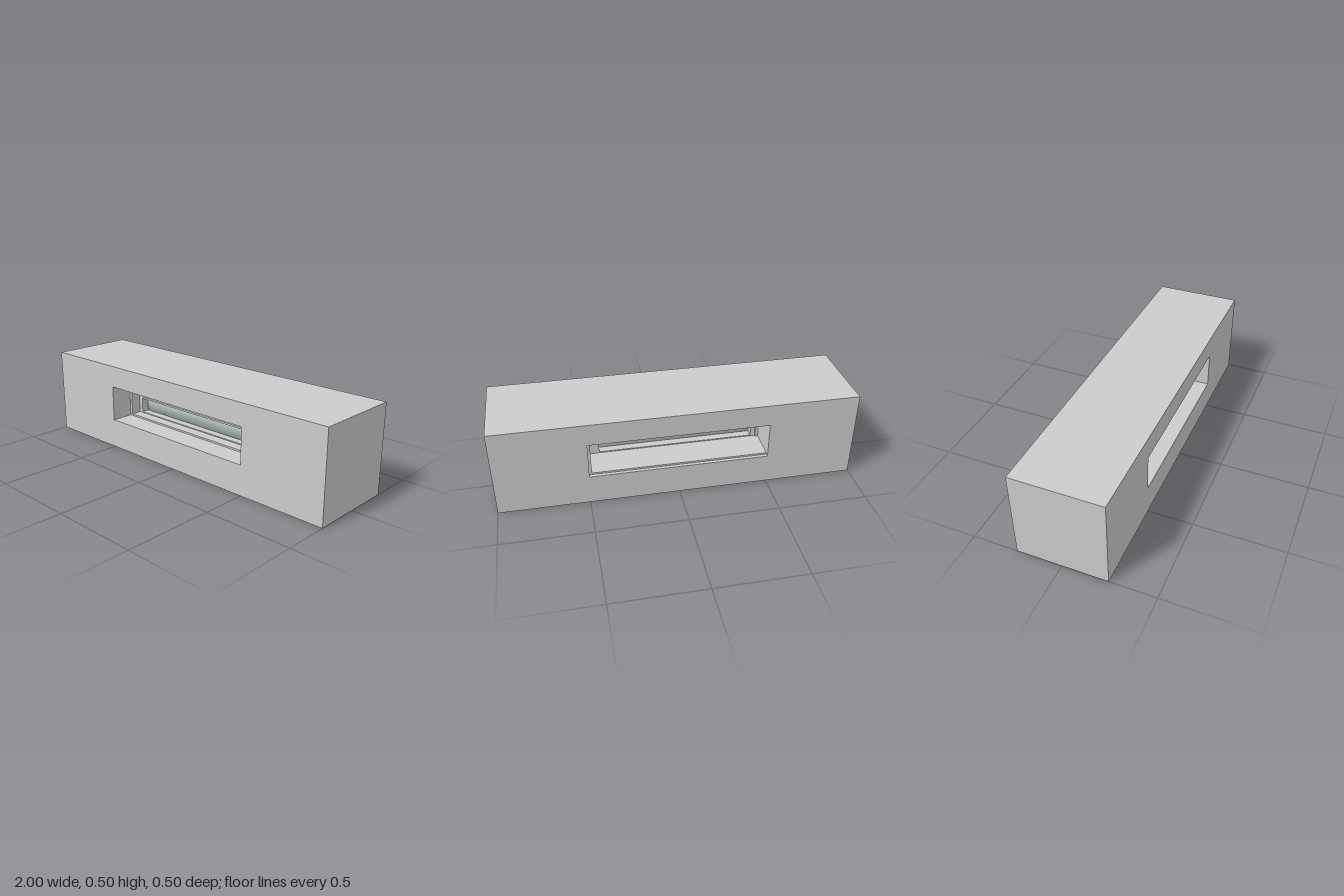
import * as THREE from 'three';

const grey = new THREE.MeshStandardMaterial({ color: 0xcccccc });
const glassMat = new THREE.MeshStandardMaterial({ color: 0xc4d2d2 });

// Rectangular ring, given as [x0, x1, y0, y1] outside and inside, from z0 to z1
function ring(name, o, i, z0, z1) {
  const rect = (P, [x0, x1, y0, y1]) => new P([
    new THREE.Vector2(x0, y0), new THREE.Vector2(x1, y0),
    new THREE.Vector2(x1, y1), new THREE.Vector2(x0, y1)]);
  const shape = rect(THREE.Shape, o);
  shape.holes.push(rect(THREE.Path, i));
  const geo = new THREE.ExtrudeGeometry(shape, { depth: z1 - z0, bevelEnabled: false });
  geo.translate(0, 0, z0);
  const mesh = new THREE.Mesh(geo, grey);
  mesh.name = name;
  return mesh;
}

function box(name, x0, x1, y0, y1, z0, z1, mat = grey) {
  const mesh = new THREE.Mesh(new THREE.BoxGeometry(x1 - x0, y1 - y0, z1 - z0), mat);
  mesh.position.set((x0 + x1) / 2, (y0 + y1) / 2, (z0 + z1) / 2);
  mesh.name = name;
  return mesh;
}

// Glass pane whose shading is softened across its corners
function pane(name, ...bounds) {
  const mesh = box(name, ...bounds, glassMat);
  const { position: p, normal: n } = mesh.geometry.attributes;
  const v = new THREE.Vector3();
  for (let i = 0; i < p.count; i++) {
    v.set(Math.sign(p.getX(i)), Math.sign(p.getY(i)), Math.sign(p.getZ(i))).normalize();
    n.setXYZ(i, v.x, v.y, v.z);
  }
  return mesh;
}

export function createModel() {
  const model = new THREE.Group();
  model.name = 'wallWithWindow';

  // Wall block with an opening right through it
  model.add(ring('wall', [-1, 1, 0, 0.5], [-0.5, 0.495, 0.17, 0.375], -0.25, 0.25));

  // Window set deep in the opening
  const win = new THREE.Group();
  win.name = 'window';
  win.add(ring('frame', [-0.5, 0.495, 0.17, 0.375], [-0.483, 0.48, 0.18, 0.366], -0.06, 0.12));
  win.add(ring('sash', [-0.483, 0.48, 0.18, 0.366], [-0.457, 0.42, 0.186, 0.363], -0.05, 0.06));
  win.add(box('middleRail', -0.457, 0.42, 0.27, 0.28, -0.05, 0.06));
  for (const [name, y0, y1] of [['lowerPane', 0.186, 0.27], ['upperPane', 0.28, 0.363]])
    win.add(pane(name, -0.457, 0.42, y0, y1, -0.005, 0.015));

  // Thin lining along one jamb and the sill at the back
  win.add(box('jambLining', 0.48, 0.495, 0.17, 0.375, -0.23, -0.06));
  win.add(box('sillLining', -0.5, 0.48, 0.17, 0.18, -0.23, -0.06));
  model.add(win);
  return model;
}
